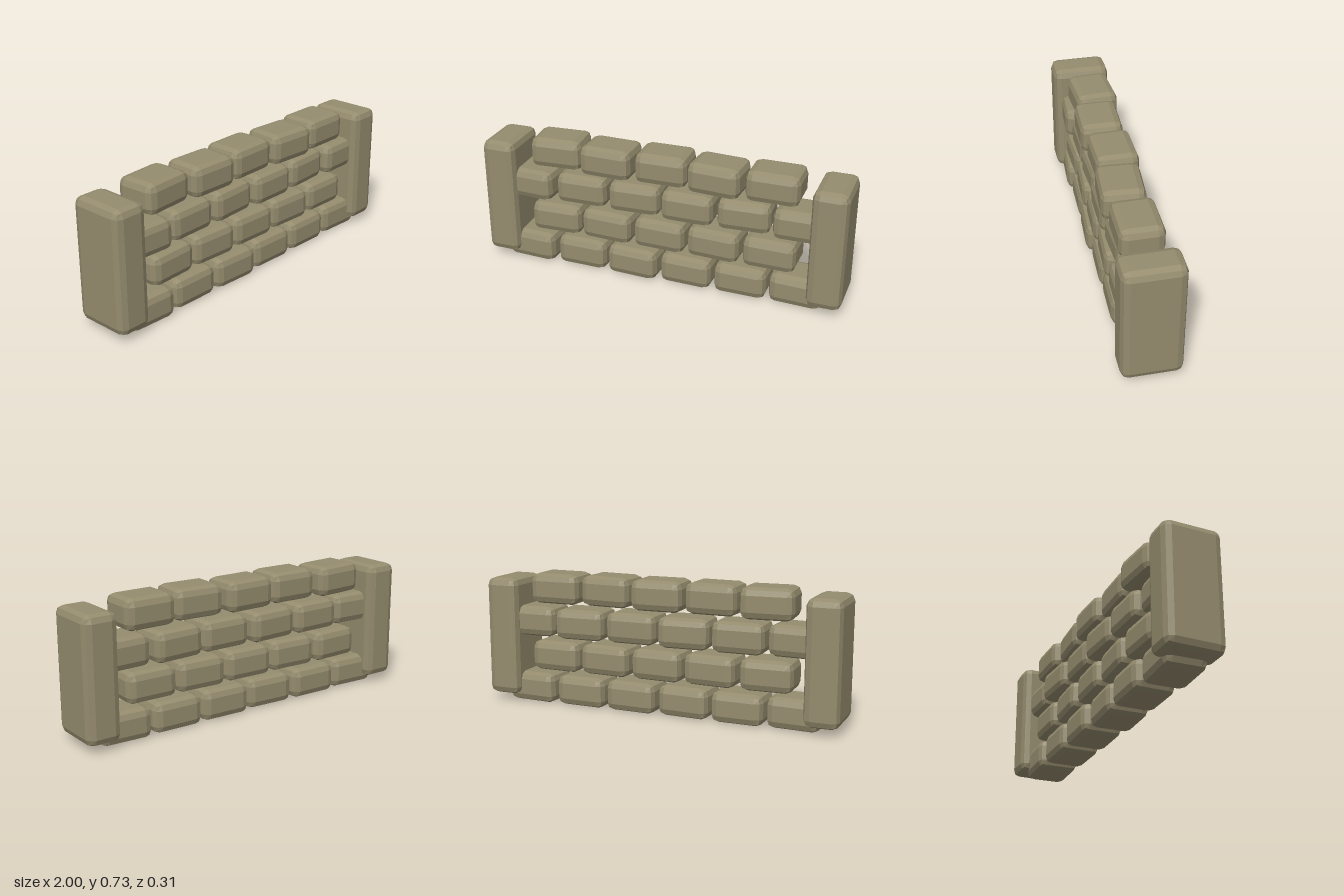
import * as THREE from 'three';
import { RoundedBoxGeometry } from 'three/addons/geometries/RoundedBoxGeometry.js';

export function createModel() {
  const wall = new THREE.Group();
  wall.name = 'stoneWall';
  const stone = new THREE.MeshStandardMaterial({ color: 0x958c6e, flatShading: true });
  stone.name = 'sandstone';

  // End pillars, mirrored
  const pillarGeometry = new RoundedBoxGeometry(0.186, 0.655, 0.314, 1, 0.04);
  for (const side of [-1, 1]) {
    const pillar = new THREE.Mesh(pillarGeometry, stone);
    pillar.name = side > 0 ? 'leftPillar' : 'rightPillar';
    pillar.position.set(side * 0.907, 0.368, 0);
    wall.add(pillar);
  }

  // Staggered brick courses, bottom to top: [turn in degrees, z offset] per brick
  const courses = [
    [[-3, 0.01], [-1, 0], [-3, 0.01], [-2, 0], [-1, 0], [-3, 0]],
    [[2, 0], [-3, 0], [-2, 0], [-3, 0], [-1, 0]],
    [[-3, 0.01], [1, -0.01], [3, -0.012], [0, 0], [3, -0.015], [1, 0]],
    [[4, -0.02], [-1.5, 0.005], [1, -0.012], [-4, 0.013], [0, -0.002]],
  ];
  const brickGeometry = new RoundedBoxGeometry(0.283, 0.165, 0.227, 1, 0.04);
  courses.forEach((bricks, row) => {
    const course = new THREE.Group();
    course.name = `course${row + 1}`;
    bricks.forEach(([turn, z], i) => {
      const brick = new THREE.Mesh(brickGeometry, stone);
      brick.name = 'brick';
      brick.position.set((i - (bricks.length - 1) / 2) * 0.301, 0.0835 + row * 0.187, z);
      brick.rotation.y = THREE.MathUtils.degToRad(turn);
      course.add(brick);
    });
    wall.add(course);
  });
  return wall;
}
